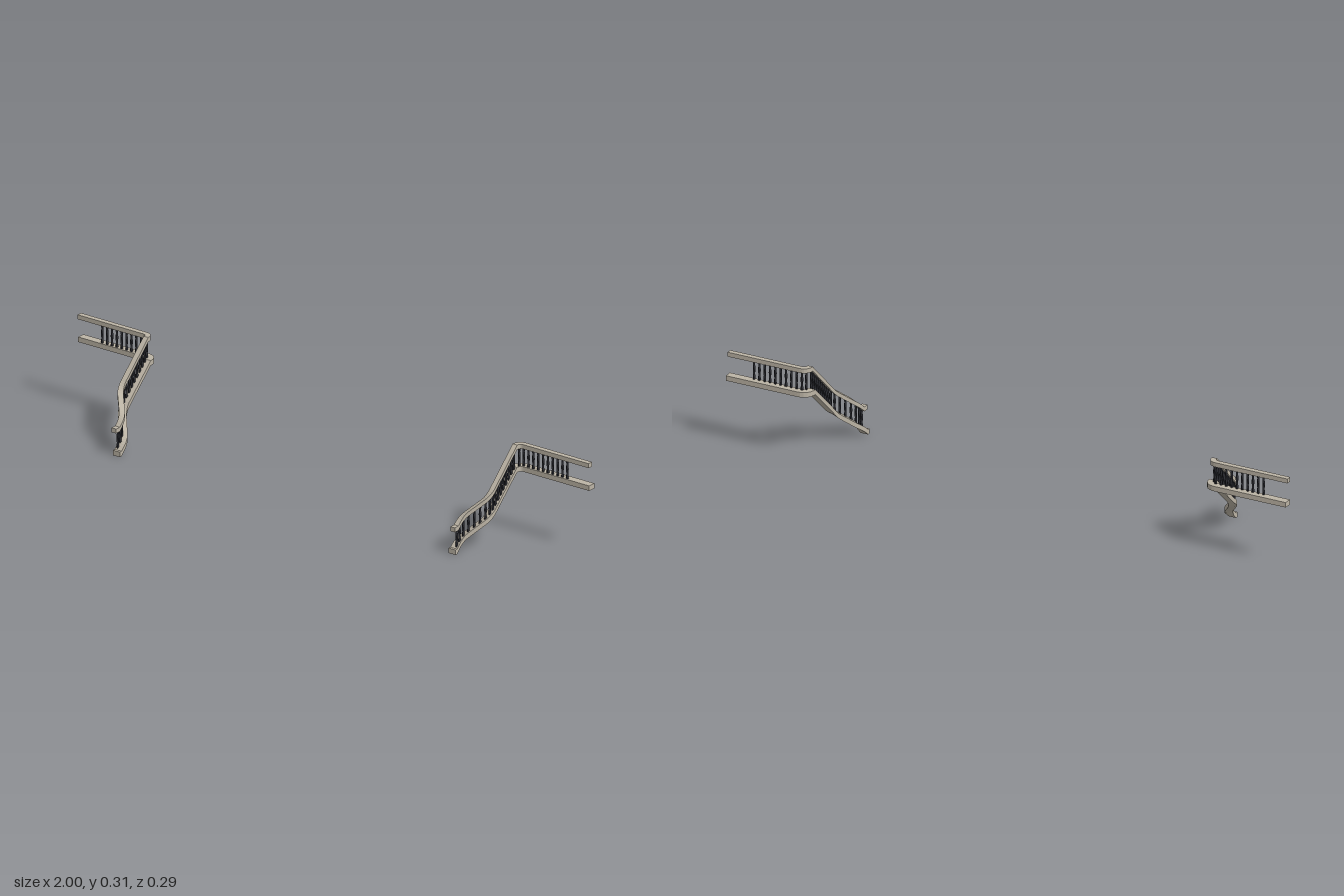
import * as THREE from 'three';

const railMat = new THREE.MeshStandardMaterial({ color: 0xbdb5a6 });
railMat.name = 'warm stone';
const ironMat = new THREE.MeshStandardMaterial({ color: 0x2c2d33 });
ironMat.name = 'dark iron';

// plan path [x, z, cornerRadius] -> points with rounded corners
function roundedPath(corners) {
  const out = [];
  corners.forEach(([x, z, r], i) => {
    const p = new THREE.Vector2(x, z);
    if (!r) { out.push(p); return; }
    const toward = (q) => new THREE.Vector2(q[0], q[1]).sub(p).setLength(r).add(p);
    const bend = new THREE.QuadraticBezierCurve(toward(corners[i - 1]), p, toward(corners[i + 1]));
    out.push(...bend.getPoints(6));
  });
  return out;
}

// level at the top landing, sloped down the stairs, level at the foot
const slope = (zTop, yTop, zFoot, yFoot) => (z) =>
  THREE.MathUtils.mapLinear(THREE.MathUtils.clamp(z, zTop, zFoot), zTop, zFoot, yTop, yFoot);

// rectangular bar swept along a plan path, kept upright with mitred corners
function sweepBar(path, heightAt, width, height) {
  const rings = path.map((p, i) => {
    const a = p.clone().sub(path[Math.max(i - 1, 0)]).normalize();
    const b = path[Math.min(i + 1, path.length - 1)].clone().sub(p).normalize();
    const d = a.clone().add(b).normalize();
    const ref = i === 0 ? b : a;
    const half = width / 2 / Math.max(0.5, d.dot(ref));
    const y = heightAt(p.y);
    return [[-1, -1], [1, -1], [1, 1], [-1, 1]].map(([u, v]) =>
      [p.x - d.y * half * u, y + v * height / 2, p.y + d.x * half * u]);
  });
  const pos = [];
  const quad = (a, b, c, d) => pos.push(...a, ...b, ...c, ...a, ...c, ...d);
  for (let i = 0; i < rings.length - 1; i++) {
    for (let k = 0; k < 4; k++) {
      const n = (k + 1) % 4;
      quad(rings[i][k], rings[i + 1][k], rings[i + 1][n], rings[i][n]);
    }
  }
  quad(...rings[0]);
  quad(...[...rings[rings.length - 1]].reverse());
  const geo = new THREE.BufferGeometry();
  geo.setAttribute('position', new THREE.Float32BufferAttribute(pos, 3));
  geo.computeVertexNormals();
  return geo;
}

// square iron bar twisted about its axis
function twistedBar(height) {
  const geo = new THREE.BoxGeometry(0.006, height, 0.006, 1, 16, 1).toNonIndexed();
  const pos = geo.attributes.position;
  for (let i = 0; i < pos.count; i++) {
    const t = pos.getY(i) * 50;
    const x = pos.getX(i), z = pos.getZ(i);
    pos.setX(i, x * Math.cos(t) - z * Math.sin(t));
    pos.setZ(i, x * Math.sin(t) + z * Math.cos(t));
  }
  geo.computeVertexNormals();
  return geo;
}

function createRailing(side) {
  const group = new THREE.Group();
  group.name = side > 0 ? 'leftRailing' : 'rightRailing';
  const add = (geo, mat, name) => {
    const mesh = new THREE.Mesh(geo, mat);
    mesh.name = name;
    group.add(mesh);
    return mesh;
  };
  const mirror = (path) => side > 0 ? path
    : path.map((p) => new THREE.Vector2(-p.x, p.y)).reverse();

  // handrail and base rail
  const handPath = roundedPath([[1, -0.123, 0], [0.722, -0.123, 0.023], [0.722, 0.035, 0.02],
    [0.663, 0.1, 0.02], [0.663, 0.126, 0], [0.663, 0.145, 0]]);
  const basePath = roundedPath([[1, -0.13, 0], [0.717, -0.13, 0.03], [0.717, 0.032, 0.02],
    [0.657, 0.102, 0.02], [0.657, 0.131, 0], [0.657, 0.14, 0]]);
  const handY = slope(-0.1, 0.3, 0.126, 0.0865);
  const baseY = slope(-0.1, 0.223, 0.131, 0.0085);
  add(sweepBar(mirror(handPath), handY, 0.018, 0.015), railMat, 'handrail');
  add(sweepBar(mirror(basePath), baseY, 0.027, 0.017), railMat, 'baseRail');

  // balusters: along the landing, at the bend, then down the stairs
  const spots = [[0.729, -0.113]];
  for (let i = 0; i < 10; i++) spots.push([0.91 - i * 0.019, -0.123]);
  for (let i = 0; i < 17; i++) {
    const z = 0.124 - i * 0.01365;
    const k = handPath.findIndex((p, j) => j > 0 && p.y >= z && handPath[j - 1].y < z);
    const a = handPath[k - 1], b = handPath[k];
    spots.push([THREE.MathUtils.mapLinear(z, a.y, b.y, a.x, b.x), z]);
  }
  for (const [x, z] of spots) {
    const bottom = baseY(z), top = handY(z);
    add(twistedBar(top - bottom), ironMat, 'baluster')
      .position.set(side * x, (top + bottom) / 2, z);
  }
  return group;
}

export function createModel() {
  const model = new THREE.Group();
  model.name = 'stairRailings';
  model.add(createRailing(1), createRailing(-1));
  return model;
}
